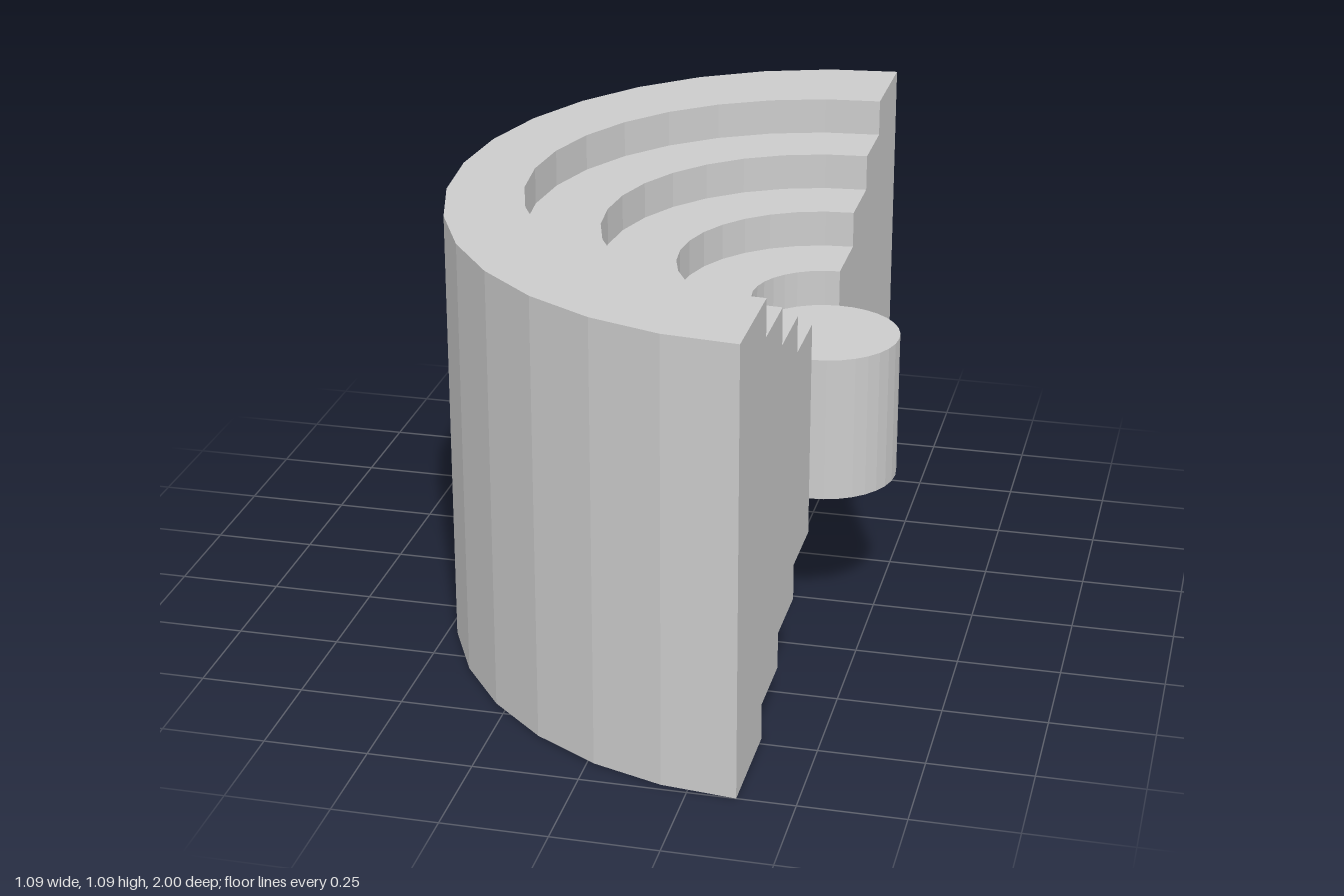
import * as THREE from 'three';

const STEP = 1 / 11;            // height of one terrace
const HEIGHT = 12 * STEP;
const AXIS_X = 4 * STEP;        // cut face and axis of the bore
const OUTER = 1;
const OUTER_SQUASH = 10 / 11;   // outer wall is slightly elliptical
const BORE = 2 * STEP;
const SIDES = 32;

// Closed cross-section of the stepped wall as [radius, height], counter-clockwise
function wallProfile() {
  const lower = [];
  for (let i = 0; i < 3; i++) {
    const r = (8 - 2 * i) * STEP;
    lower.push([r, i * STEP], [r, (i + 1) * STEP]);
  }
  lower.push([BORE, 3 * STEP]);
  const upper = lower.map(([r, y]) => [r, HEIGHT - y]).reverse();
  return [[OUTER, 0], [OUTER, HEIGHT], ...upper.reverse(), ...lower.reverse()];
}

export function createModel() {
  const model = new THREE.Group();
  model.name = 'steppedHalfHousing';
  const material = new THREE.MeshStandardMaterial({ color: 0xcccccc, flatShading: true });
  const add = (name, geometry, y = 0) => {
    const mesh = new THREE.Mesh(geometry, material);
    mesh.name = name;
    mesh.position.set(AXIS_X, y, 0);
    model.add(mesh);
  };

  // Half-revolved wall with terraces above and below the bore
  const profile = wallProfile();
  const points = [...profile, profile[0]].map(([r, y]) => new THREE.Vector2(r, y));
  const wall = new THREE.LatheGeometry(points, SIDES / 2, Math.PI, Math.PI);
  const pos = wall.attributes.position;
  for (let i = 0; i < pos.count; i++) {
    if (Math.hypot(pos.getX(i), pos.getZ(i)) > 0.95) pos.setX(i, pos.getX(i) * OUTER_SQUASH);
  }
  wall.computeVertexNormals();
  add('steppedWall', wall);

  // Flat cut faces either side of the bore
  for (const side of [1, -1]) {
    const shape = new THREE.Shape(profile.map(([r, y]) => new THREE.Vector2(side * r, y)));
    add(side > 0 ? 'backCutFace' : 'frontCutFace', new THREE.ShapeGeometry(shape).rotateY(Math.PI / 2));
  }

  // Round pin seated in the bore
  add('centrePin', new THREE.CylinderGeometry(BORE, BORE, 4 * STEP, SIDES), HEIGHT / 2);

  return model;
}
